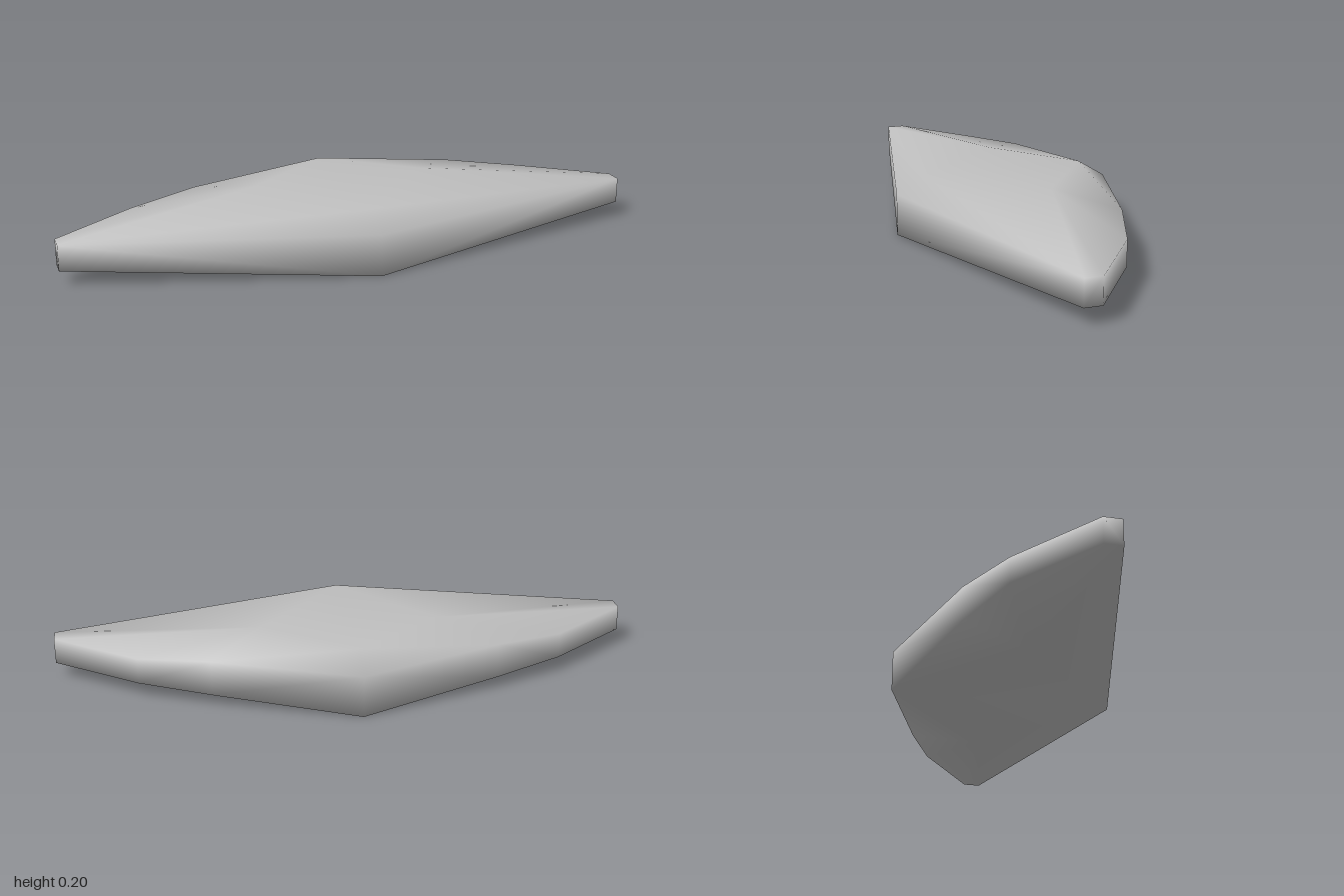
import * as THREE from 'three';
import { mergeVertices } from 'three/addons/utils/BufferGeometryUtils.js';

export function createModel() {
  const group = new THREE.Group();
  group.name = 'rhombicBody';
  const grey = new THREE.MeshStandardMaterial({ color: 0xc0c0c0 });
  grey.name = 'light grey';

  // Outlines of the left half, from the front corner round the tip to the back corner
  const upperRim = [[0, 0.143, 0.38], [1, 0.143, 0.13], [1, 0.143, 0.07],
    [0.72, 0.143, -0.135], [0.48, 0.16, -0.23], [0, 0.143, -0.38]];
  const lowerRim = [[0, 0, 0.38], [1, 0.055, 0.13], [1, 0.055, 0.07],
    [0.72, 0.055, -0.135], [0.48, 0.04, -0.23], [0, 0, -0.38]];
  // The top is bevelled at the front and back corners
  const topFront = [0, 0.2, 0.287], topBack = [0, 0.2, -0.287];
  const topRing = [topFront, ...upperRim.slice(1, 5), topBack];
  const topPeak = [0.3, 0.2, -0.06];
  const bottomPeak = [0.4, 0, 0];

  const positions = [];
  // Adds a triangle and its mirror image
  const tri = (a, b, c) => {
    positions.push(...a, ...b, ...c);
    for (const [x, y, z] of [a, c, b]) positions.push(-x, y, z);
  };

  for (let i = 0; i < 6; i++) {
    const j = (i + 1) % 6;
    // Top and bottom fans
    tri(topPeak, topRing[i], topRing[j]);
    tri(bottomPeak, lowerRim[j], lowerRim[i]);
    // Side walls
    if (j > 0) {
      tri(lowerRim[i], lowerRim[j], upperRim[j]);
      tri(lowerRim[i], upperRim[j], upperRim[i]);
    }
  }
  // Corner bevels
  tri(upperRim[0], upperRim[1], topFront);
  tri(upperRim[4], upperRim[5], topBack);

  let geometry = new THREE.BufferGeometry();
  geometry.setAttribute('position', new THREE.Float32BufferAttribute(positions, 3));
  geometry = mergeVertices(geometry);
  geometry.computeVertexNormals();

  const body = new THREE.Mesh(geometry, grey);
  body.name = 'body';
  group.add(body);
  return group;
}
